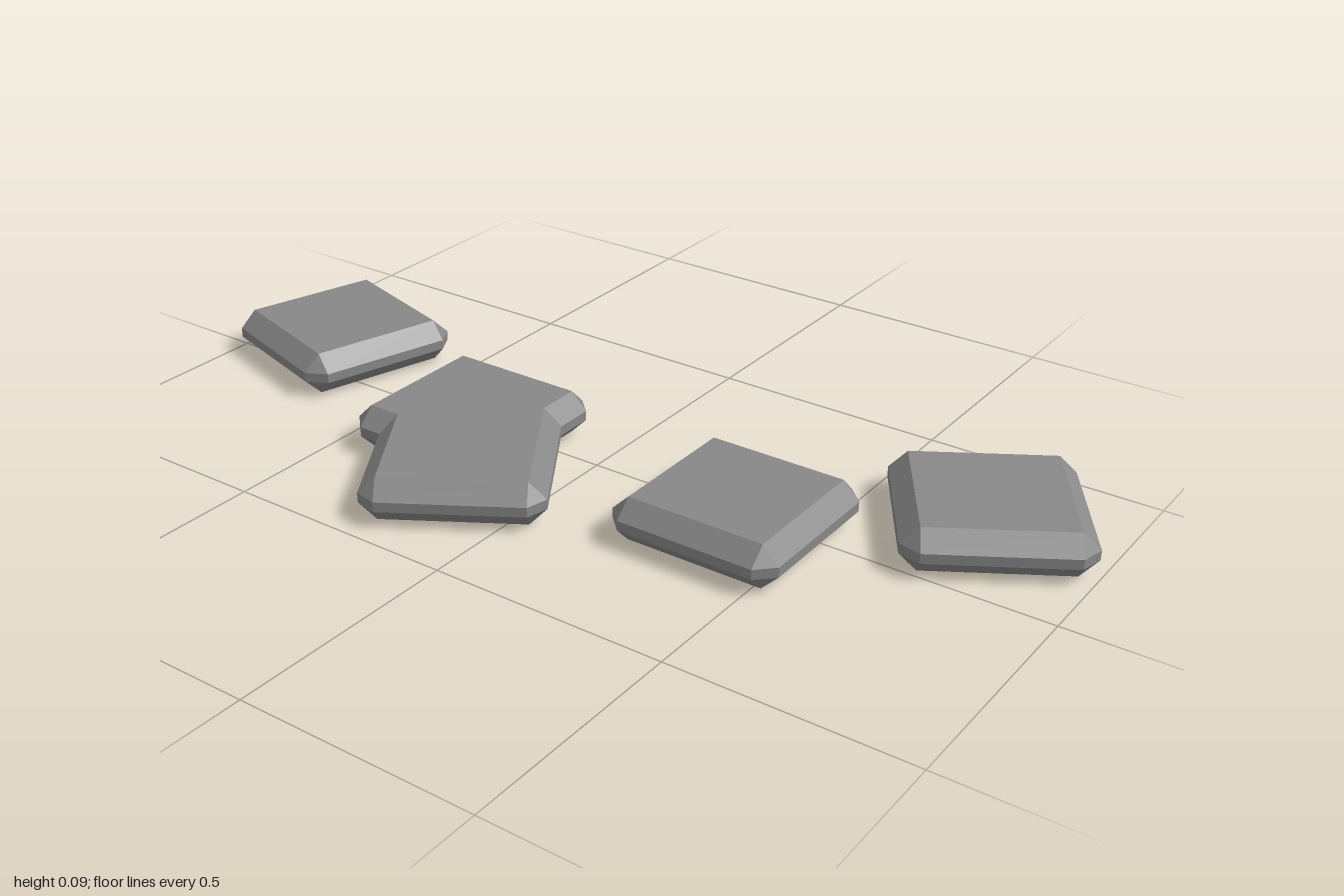
import * as THREE from 'three';

const HEIGHT = 0.093, BEVEL = 0.036, INNER = 0.147;

// Bevelled slab from its top outline of [x, z] corners, listed clockwise as seen from above
function slabGeometry(outline) {
  const pts = outline.map(([x, z]) => new THREE.Vector2(x, z));
  const count = pts.length;
  const normal = (a, b) => {
    const d = b.clone().sub(a).normalize();
    return new THREE.Vector2(d.y, -d.x);
  };

  // Matching inner and outer rings: convex corners are cut off, concave ones are mitred
  const inner = [], outer = [];
  pts.forEach((p, i) => {
    const n0 = normal(pts[(i + count - 1) % count], p);
    const n1 = normal(p, pts[(i + 1) % count]);
    if (n0.cross(n1) > 0) {
      for (const n of [n0, n1]) {
        inner.push(p);
        outer.push(p.clone().addScaledVector(n, BEVEL));
      }
    } else {
      inner.push(p);
      outer.push(p.clone().addScaledVector(n0.clone().add(n1), BEVEL / (1 + n0.dot(n1))));
    }
  });

  const position = [];
  const tri = (...corners) => corners.forEach(([p, y]) => position.push(p.x, y, p.y));

  // Upper bevel, narrow vertical band, lower bevel
  const levels = [[inner, HEIGHT], [outer, HEIGHT - BEVEL], [outer, BEVEL], [inner, 0]];
  for (let k = 0; k < 3; k++) {
    const [up, yUp] = levels[k], [low, yLow] = levels[k + 1];
    for (let i = 0; i < up.length; i++) {
      const j = (i + 1) % up.length;
      if (up[i] !== up[j]) tri([up[i], yUp], [up[j], yUp], [low[j], yLow]);
      if (low[i] !== low[j]) tri([up[i], yUp], [low[j], yLow], [low[i], yLow]);
    }
  }

  // Flat top and underside
  for (const [a, b, c] of THREE.ShapeUtils.triangulateShape(pts, [])) {
    tri([pts[a], HEIGHT], [pts[c], HEIGHT], [pts[b], HEIGHT]);
    tri([pts[a], 0], [pts[b], 0], [pts[c], 0]);
  }

  const geometry = new THREE.BufferGeometry();
  geometry.setAttribute('position', new THREE.Float32BufferAttribute(position, 3));
  geometry.computeVertexNormals();
  return geometry;
}

export function createModel() {
  const group = new THREE.Group();
  const stone = new THREE.MeshStandardMaterial({ name: 'stoneGrey', color: 0x888888, flatShading: true });

  const addSlab = (name, outline, x = 0, z = 0, degrees = 0) => {
    const mesh = new THREE.Mesh(slabGeometry(outline), stone);
    mesh.name = name;
    mesh.position.set(x, 0, z);
    mesh.rotation.y = THREE.MathUtils.degToRad(degrees);
    group.add(mesh);
  };

  // Single square paving stones
  const square = [[-INNER, -INNER], [INNER, -INNER], [INNER, INNER], [-INNER, INNER]];
  addSlab('backStone', square, 0.098, -0.782, -17);
  addSlab('middleStone', square, -0.055, 0.367);
  addSlab('frontStone', square, 0.222, 0.76, 32);

  // Bent stone: a straight square merged with a turned one
  addSlab('bentStone', [
    [-0.202, -0.425], [0.092, -0.425], [0.092, -0.131], [-0.004, -0.131],
    [-0.269, 0.035], [-0.425, -0.215], [-0.202, -0.354],
  ]);

  return group;
}
